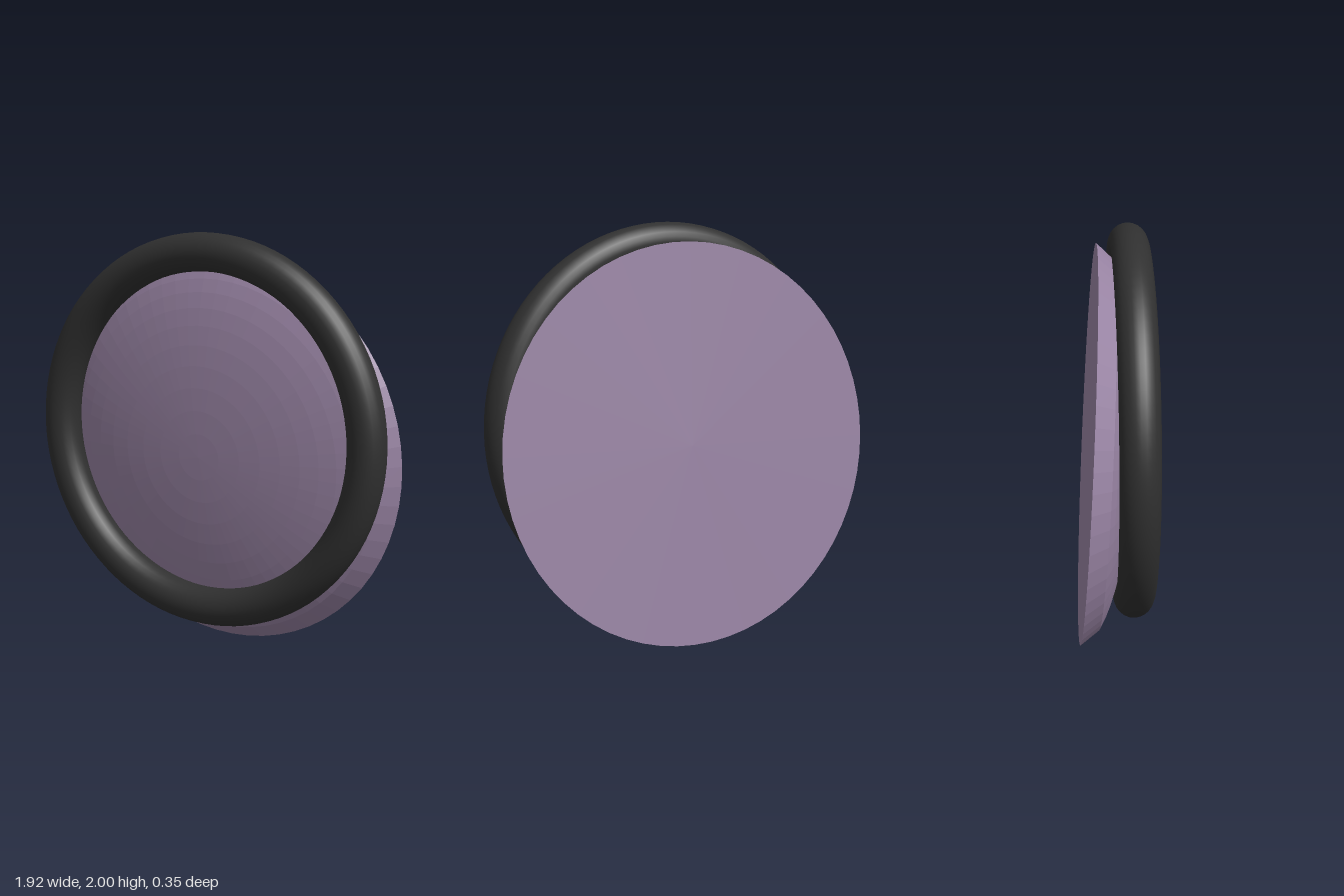
import * as THREE from 'three';

export function createModel() {
  const model = new THREE.Group();
  const rubber = new THREE.MeshStandardMaterial({ color: 0x303030 });
  rubber.name = 'charcoal';
  const glass = new THREE.MeshStandardMaterial({ color: 0x9a85a5, flatShading: true });
  glass.name = 'mauve';

  // Round rim
  const rim = new THREE.Mesh(new THREE.TorusGeometry(0.847, 0.09, 24, 96), rubber);
  rim.name = 'rim';
  rim.position.set(0.022, 1.063, 0.085);
  model.add(rim);

  // Shallow dome with a flat back and a bevelled edge, tilted behind the rim
  const profile = [new THREE.Vector2(0, 0), new THREE.Vector2(0.957, 0)];
  const rings = 10, start = Math.PI / 8;
  for (let i = 0; i <= rings; i++) {
    const a = start + (Math.PI / 2 - start) * (i / rings);
    profile.push(new THREE.Vector2(i === rings ? 0 : 0.957 * Math.cos(a), 0.222 * Math.sin(a)));
  }
  const dome = new THREE.Mesh(new THREE.LatheGeometry(profile, 64), glass);
  dome.name = 'dome';
  dome.position.set(-0.003, 0.955, -0.118);
  const facing = new THREE.Vector3(-0.0157, -0.055, 1).normalize();
  dome.quaternion.setFromUnitVectors(new THREE.Vector3(0, 1, 0), facing);
  model.add(dome);

  return model;
}
